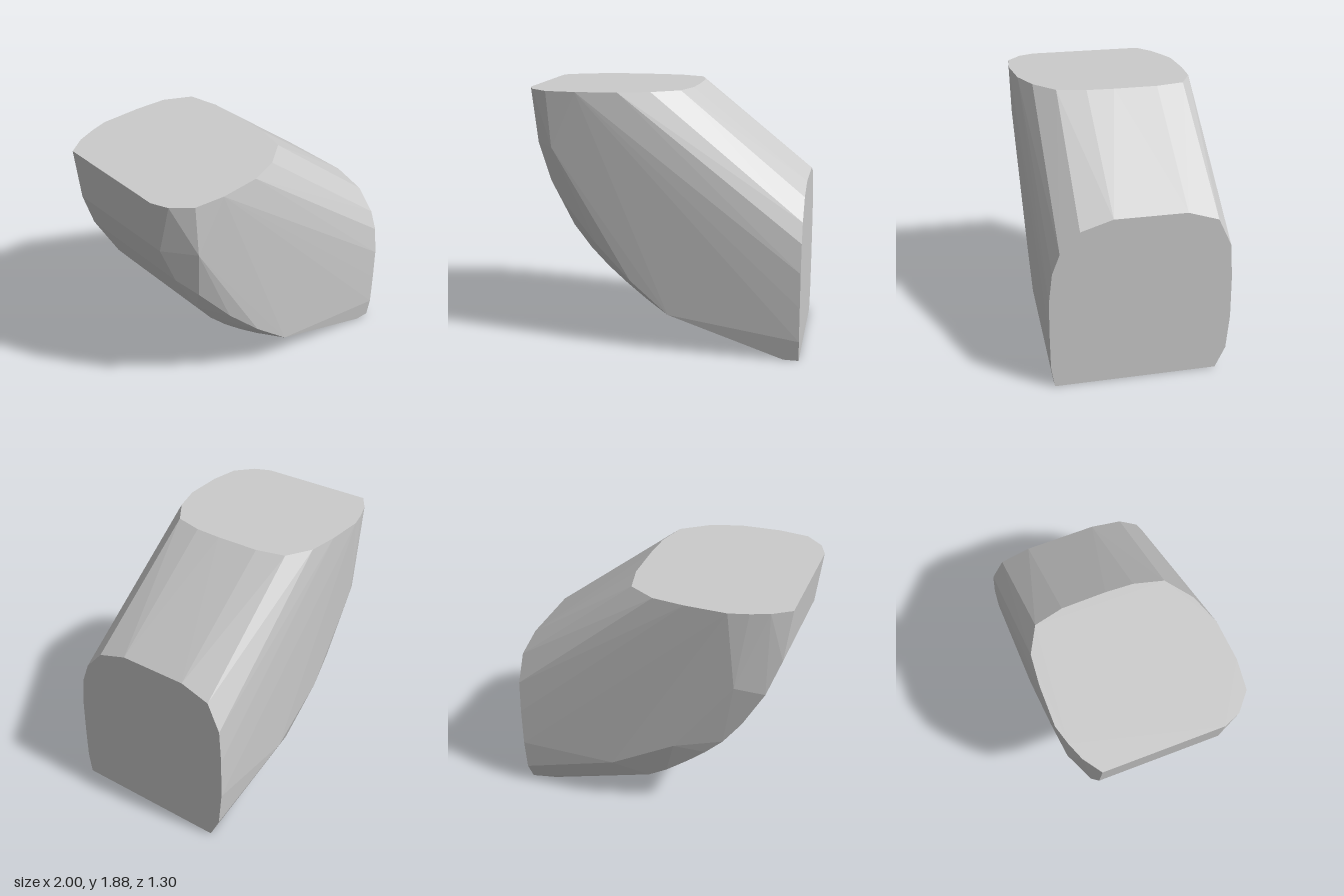
import * as THREE from 'three';
import { ConvexGeometry } from 'three/addons/geometries/ConvexGeometry.js';

export function createModel() {
  const group = new THREE.Group();
  group.name = 'facetedBlock';

  // Flat top face outline: x, z
  const top = [
    [-0.6, -0.65], [-0.3, -0.65], [-0.07, -0.63], [0.12, -0.53], [0.17, -0.32], [0.175, 0],
    [0.165, 0.2], [0.11, 0.41], [-0.08, 0.55], [-0.3, 0.625], [-0.6, 0.645], [-0.82, 0.62],
    [-0.95, 0.51], [-1, 0.39], [-1, -0.47], [-0.87, -0.56], [-0.74, -0.61],
  ];
  // Flat end face outline at x = 1: z, y
  const end = [
    [0.62, 0], [0.645, 0.15], [0.65, 0.4], [0.65, 0.65], [0.625, 0.86], [0.57, 1], [0.43, 1.15],
    [0.2, 1.22], [-0.32, 1.22], [-0.54, 1.15], [-0.635, 0.95], [-0.65, 0.7], [-0.65, 0.4],
    [-0.625, 0.15], [-0.55, 0],
  ];
  // Curved underside: x, y, back z, front z
  const underside = [
    [-0.95, 1.48, -0.48, 0.4], [-0.85, 1.2, -0.51, 0.43], [-0.68, 0.88, -0.47, 0.44],
    [-0.55, 0.71, -0.5, 0.44], [-0.42, 0.58, -0.5, 0.45], [-0.28, 0.46, -0.5, 0.46],
    [-0.12, 0.34, -0.51, 0.48], [0.02, 0.26, -0.52, 0.5], [0.2, 0.19, -0.48, 0.5],
    [0.745, 0, -0.42, 0.05],
  ];
  // Creases between the underside and the side walls
  const creases = [
    [-0.79, 1.48, 0.61], [-0.73, 1.07, 0.53], [-0.48, 0.77, 0.57], [-0.23, 0.52, 0.6],
    [0.05, 0.28, 0.61], [0.89, 0, 0.615],
    [-0.65, 1.27, -0.61], [-0.21, 0.66, -0.61], [0.27, 0.39, -0.63], [0.82, 0, -0.51],
  ];

  const points = [
    ...top.map(([x, z]) => new THREE.Vector3(x, 1.88, z)),
    ...end.map(([z, y]) => new THREE.Vector3(1, y, z)),
    ...creases.map((p) => new THREE.Vector3(...p)),
  ];
  for (const [x, y, back, front] of underside) {
    points.push(new THREE.Vector3(x, y, back), new THREE.Vector3(x, y, front));
  }

  // Convex solid wrapped around both flat faces and the curved underside
  const body = new THREE.Mesh(
    new ConvexGeometry(points),
    new THREE.MeshStandardMaterial({ color: 0xcccccc, flatShading: true }),
  );
  body.name = 'convexBody';
  group.add(body);
  return group;
}
